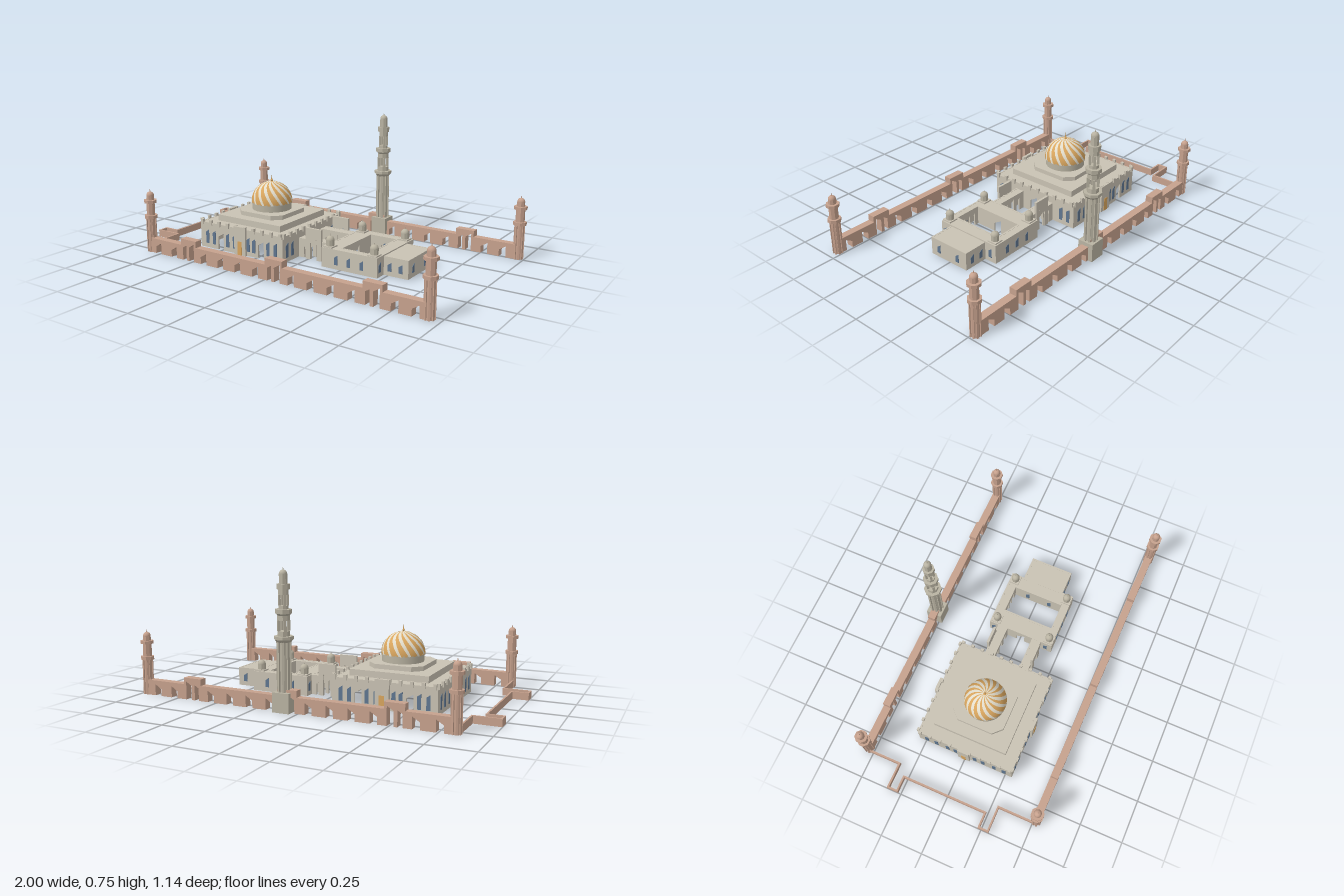
import * as THREE from 'three';

const mat = (name, color, opts = {}) => {
  const m = new THREE.MeshStandardMaterial({ color, ...opts });
  m.name = name;
  return m;
};

export function createModel() {
  const stone = mat('pale stone', 0xc9c2b3);
  const grey = mat('grey stone', 0xb9b3a2);
  const rose = mat('rose stone', 0xc6a18d);
  const glass = mat('blue glass', 0x5f7690);
  const gold = mat('gold', 0xd8a55e);
  const rib = mat('ivory ribs', 0xe2dccb, { side: THREE.DoubleSide });
  const root = new THREE.Group();

  const add = (parent, name, geo, material, x = 0, y = 0, z = 0) => {
    const m = new THREE.Mesh(geo, material);
    m.name = name;
    m.position.set(x, y, z);
    parent.add(m);
    return m;
  };
  const group = (name, parent = root) => {
    const g = new THREE.Group();
    g.name = name;
    parent.add(g);
    return g;
  };
  // Box given by its extents
  const slab = (parent, name, material, x0, x1, y0, y1, z0, z1) =>
    add(parent, name, new THREE.BoxGeometry(x1 - x0, y1 - y0, z1 - z0), material,
      (x0 + x1) / 2, (y0 + y1) / 2, (z0 + z1) / 2);
  // Octagonal prism with flat sides facing the axes, sized by its half width
  const octagon = (r0, r1, h) => {
    const g = new THREE.CylinderGeometry(r1 / 0.924, r0 / 0.924, h, 8).toNonIndexed();
    g.rotateY(Math.PI / 8);
    g.computeVertexNormals();
    return g;
  };

  // Wall outline with openings reaching the ground and raised blocks on top
  const wallGeometry = (len, h, t, gaps = [], raised = []) => {
    const s = new THREE.Shape();
    s.moveTo(0, 0);
    [...gaps].sort((a, b) => a.x - b.x).forEach(({ x, w, top }) => {
      s.lineTo(x - w / 2, 0);
      s.lineTo(x - w / 2, top - w * 0.6);
      s.lineTo(x + w / 2, top);
      s.lineTo(x + w / 2, 0);
    });
    s.lineTo(len, 0);
    s.lineTo(len, h);
    [...raised].sort((a, b) => b.x - a.x).forEach(({ x, w, top }) => {
      s.lineTo(x + w / 2, h);
      s.lineTo(x + w / 2, top);
      s.lineTo(x - w / 2, top);
      s.lineTo(x - w / 2, h);
    });
    s.lineTo(0, h);
    return new THREE.ExtrudeGeometry(s, { depth: t, bevelEnabled: false }).translate(0, 0, -t);
  };
  // Glazing with a slanted head, visible on both wall faces
  const paneGeometry = (w, y0, y1, t) => {
    const s = new THREE.Shape();
    s.moveTo(-w / 2, y0);
    s.lineTo(w / 2, y0);
    s.lineTo(w / 2, y1);
    s.lineTo(-w / 2, y1 - w * 0.7);
    return new THREE.ExtrudeGeometry(s, { depth: t, bevelEnabled: false }).translate(0, 0, 0.002 - t);
  };
  const T = 0.01;
  const side = (parent, name, px, pz, angle, len, h, { gaps = [], panes = [], teeth = 0 } = {}) => {
    const g = group(name, parent);
    g.position.set(px, 0, pz);
    g.rotation.y = angle;
    add(g, 'wall', wallGeometry(len, h, T, gaps), stone);
    panes.forEach((x) => add(g, 'window', paneGeometry(0.022, 0.025, h * 0.72, T + 0.004), glass, x));
    for (let i = 0; i < teeth; i++) {
      const x = 0.015 + (i * (len - 0.03)) / (teeth - 1);
      add(g, 'merlon', new THREE.BoxGeometry(0.018, 0.03, 0.014), stone, x, h + 0.002, 0);
    }
    return g;
  };
  // Four walls under a roof, open underneath
  const building = (name, x0, x1, z0, z1, h, { front, right, back, left } = {}) => {
    const g = group(name);
    side(g, 'frontWall', x0, z1, 0, x1 - x0, h, front);
    side(g, 'eastWall', x1, z1, Math.PI / 2, z1 - z0, h, right);
    side(g, 'backWall', x1, z0, Math.PI, x1 - x0, h, back);
    side(g, 'westWall', x0, z0, -Math.PI / 2, z1 - z0, h, left);
    return g;
  };
  const gap = (x, w, top) => ({ x, w, top });

  // Prayer hall
  const long = {
    gaps: [gap(0.15, 0.04, 0.1), gap(0.44, 0.04, 0.1)],
    panes: [0.05, 0.1, 0.2, 0.25, 0.35, 0.39, 0.49, 0.54], teeth: 10,
  };
  const hall = building('prayerHall', -0.66, -0.07, -0.29, 0.29, 0.15, {
    front: long, back: long,
    right: { panes: [0.04, 0.09, 0.49, 0.54], gaps: [gap(0.29, 0.05, 0.1)], teeth: 10 },
    left: { panes: [0.05, 0.11, 0.18, 0.23, 0.35, 0.4, 0.47, 0.53], teeth: 10 },
  });
  slab(hall, 'roof', stone, -0.655, -0.075, 0.142, 0.149, -0.285, 0.285);
  slab(hall, 'upperRoof', stone, -0.585, -0.138, 0.149, 0.185, -0.22, 0.22);
  for (const s of [-1, 1]) {
    slab(hall, 'portal', stone, -0.4, -0.32, 0, 0.165, s * 0.297 - 0.008, s * 0.297 + 0.008);
    slab(hall, 'portalDoor', gold, -0.375, -0.345, 0, 0.08, s * 0.297 - 0.01, s * 0.297 + 0.01);
  }
  slab(hall, 'westPortal', stone, -0.673, -0.655, 0, 0.165, -0.04, 0.03);
  slab(hall, 'westDoor', gold, -0.675, -0.653, 0, 0.08, -0.018, 0.008);

  // Chamfered platform under the dome
  const c = 0.155, k = 0.105;
  const plan = new THREE.Shape([[c, k], [k, c], [-k, c], [-c, k], [-c, -k], [-k, -c], [k, -c], [c, -k]]
    .map(([x, y]) => new THREE.Vector2(x, y)));
  const platform = new THREE.ExtrudeGeometry(plan, { depth: 0.025, bevelEnabled: false }).rotateX(-Math.PI / 2);
  add(hall, 'domePlatform', platform, stone, -0.36, 0.185, 0);

  // Main dome with spiralling ribs
  const dome = group('mainDome');
  dome.position.set(-0.36, 0.25, 0);
  add(dome, 'drum', new THREE.CylinderGeometry(0.115, 0.115, 0.04, 32), grey, 0, -0.02, 0);
  add(dome, 'rim', new THREE.CylinderGeometry(0.12, 0.12, 0.008, 32), grey);
  add(dome, 'shell', new THREE.SphereGeometry(0.12, 40, 16, 0, Math.PI * 2, 0, Math.PI / 2), gold);
  const ribGeometry = (start) => {
    const pos = [], idx = [], N = 14, R = 0.1215;
    for (let i = 0; i <= N; i++) {
      const t = i / N, e = t * 1.5, mid = start + 0.9 * t, half = 0.06 + 0.1 * t;
      for (const a of [mid - half, mid + half]) {
        pos.push(R * Math.cos(e) * Math.cos(a), R * Math.sin(e), R * Math.cos(e) * Math.sin(a));
      }
      if (i < N) idx.push(2 * i, 2 * i + 2, 2 * i + 1, 2 * i + 1, 2 * i + 2, 2 * i + 3);
    }
    const g = new THREE.BufferGeometry();
    g.setAttribute('position', new THREE.Float32BufferAttribute(pos, 3));
    g.setIndex(idx);
    g.computeVertexNormals();
    return g;
  };
  for (let i = 0; i < 14; i++) add(dome, 'rib', ribGeometry((i * Math.PI * 2) / 14), rib);
  add(dome, 'finialBall', new THREE.SphereGeometry(0.007, 10, 8), gold, 0, 0.128, 0);
  add(dome, 'finialSpike', new THREE.ConeGeometry(0.005, 0.04, 8), gold, 0, 0.142, 0);

  // Courtyard block: ring of rooms round an open court
  const court = building('courtyardBlock', 0.13, 0.475, -0.195, 0.205, 0.11, {
    front: { panes: [0.09, 0.17, 0.25] }, back: { panes: [0.09, 0.17, 0.25] },
    right: { panes: [0.025, 0.36] }, left: { panes: [0.025, 0.36], gaps: [gap(0.2, 0.05, 0.08)] },
  });
  const roofs = [[0.135, 0.235, -0.19, 0.2], [0.395, 0.47, -0.19, 0.2],
    [0.235, 0.395, -0.19, -0.14], [0.235, 0.395, 0.16, 0.2]];
  roofs.forEach(([x0, x1, z0, z1]) => slab(court, 'roof', stone, x0, x1, 0.103, 0.109, z0, z1));
  const arcade = [gap(0.04, 0.03, 0.075), gap(0.08, 0.03, 0.075), gap(0.12, 0.03, 0.075)];
  side(court, 'courtBackWall', 0.235, -0.14, 0, 0.16, 0.11, { gaps: arcade });
  side(court, 'courtFrontWall', 0.395, 0.16, Math.PI, 0.16, 0.11, { gaps: arcade });
  side(court, 'courtWestWall', 0.235, 0.16, Math.PI / 2, 0.3, 0.11, { gaps: [gap(0.15, 0.05, 0.08)] });
  side(court, 'courtEastWall', 0.395, -0.14, -Math.PI / 2, 0.3, 0.11, { panes: [0.08, 0.22] });
  for (const x of [0.165, 0.44]) for (const z of [-0.16, 0.175]) {
    const cup = group('cupola', court);
    cup.position.set(x, 0.11, z);
    add(cup, 'base', new THREE.BoxGeometry(0.056, 0.008, 0.056), stone, 0, 0.004, 0);
    add(cup, 'drum', octagon(0.021, 0.021, 0.034), grey, 0, 0.022, 0);
    add(cup, 'cap', new THREE.SphereGeometry(0.023, 16, 8, 0, Math.PI * 2, 0, Math.PI / 2), grey, 0, 0.039, 0);
    add(cup, 'tip', new THREE.ConeGeometry(0.003, 0.014, 6), grey, 0, 0.067, 0);
  }

  // East wing
  const wing = building('eastWing', 0.395, 0.62, -0.12, 0.135, 0.104, {
    front: { panes: [0.115, 0.18] }, back: { panes: [0.045, 0.11] }, right: { panes: [0.055, 0.19] },
  });
  slab(wing, 'roof', stone, 0.4, 0.615, 0.097, 0.103, -0.115, 0.13);

  // Two arcaded corridors with tall gateways
  for (const [z0, z1, out] of [[-0.14, -0.08, -0.14], [0.08, 0.135, 0.138]]) {
    const arches = { gaps: [gap(0.05, 0.03, 0.08), gap(0.1, 0.04, 0.09), gap(0.155, 0.03, 0.08)] };
    const corridor = group('corridor');
    side(corridor, 'frontArcade', -0.07, z1, 0, 0.205, 0.11, arches);
    side(corridor, 'backArcade', 0.135, z0, Math.PI, 0.205, 0.11, arches);
    slab(corridor, 'roof', stone, -0.07, 0.135, 0.103, 0.109, z0 + 0.005, z1 - 0.005);
    add(corridor, 'gateway', wallGeometry(0.105, 0.18, 0.014, [gap(0.0525, 0.045, 0.12)]),
      stone, -0.02, 0, out + 0.007);
  }

  // Cap shared by the towers
  const cap = (g, r, y, material) => {
    add(g, 'dome', new THREE.SphereGeometry(r, 16, 8, 0, Math.PI * 2, 0, Math.PI / 2), material, 0, y, 0);
    add(g, 'finial', new THREE.ConeGeometry(0.004, 0.02, 6), material, 0, y + r + 0.006, 0);
  };
  const tier = (g, name, r, y0, y1, material, r1 = r) =>
    add(g, name, octagon(r, r1, y1 - y0), material, 0, (y0 + y1) / 2, 0);
  const pilasters = (g, r, w, y0, y1, n, material) => {
    for (let i = 0; i < n; i++) {
      const a = ((i + 0.5) * Math.PI * 2) / n;
      add(g, 'pier', new THREE.BoxGeometry(w, y1 - y0, w), material,
        r * Math.sin(a), (y0 + y1) / 2, r * Math.cos(a)).rotation.y = a;
    }
  };

  // Tall minaret
  const minaret = group('minaret');
  minaret.position.set(0.087, 0, -0.525);
  slab(minaret, 'base', grey, -0.048, 0.048, 0, 0.105, -0.046, 0.046);
  tier(minaret, 'shaft', 0.03, 0.105, 0.37, grey);
  pilasters(minaret, 0.032, 0.012, 0.105, 0.37, 8, grey);
  tier(minaret, 'corbel', 0.034, 0.362, 0.378, grey, 0.046);
  tier(minaret, 'balcony', 0.047, 0.378, 0.394, grey);
  tier(minaret, 'middleFoot', 0.03, 0.394, 0.42, grey);
  pilasters(minaret, 0.026, 0.014, 0.42, 0.475, 4, grey);
  tier(minaret, 'middleHead', 0.03, 0.475, 0.505, grey);
  tier(minaret, 'balcony', 0.04, 0.51, 0.532, grey);
  tier(minaret, 'corbel', 0.03, 0.5, 0.51, grey, 0.038);
  tier(minaret, 'upperFoot', 0.024, 0.532, 0.55, grey);
  pilasters(minaret, 0.021, 0.012, 0.55, 0.605, 4, grey);
  tier(minaret, 'upperHead', 0.024, 0.605, 0.632, grey);
  tier(minaret, 'balcony', 0.031, 0.632, 0.66, grey);
  tier(minaret, 'lantern', 0.02, 0.66, 0.71, grey);
  cap(minaret, 0.021, 0.71, grey);

  // Corner towers
  const corners = [[-0.832, -0.532], [-0.832, 0.515], [0.965, -0.515], [0.94, 0.532]];
  corners.forEach(([x, z]) => {
    const t = group('cornerTower');
    t.position.set(x, 0, z);
    tier(t, 'shaft', 0.024, 0, 0.195, rose);
    pilasters(t, 0.024, 0.01, 0, 0.195, 8, rose);
    tier(t, 'balcony', 0.034, 0.195, 0.214, rose);
    tier(t, 'upperShaft', 0.023, 0.214, 0.285, rose);
    tier(t, 'balcony', 0.034, 0.285, 0.302, rose);
    tier(t, 'lantern', 0.02, 0.302, 0.328, rose);
    cap(t, 0.021, 0.328, rose);
  });

  // Long perimeter walls with arches and raised gates
  const gates = [-0.53, 0.06, 0.65];
  const arches = [-0.76, -0.64, -0.42, -0.3, -0.18, -0.06, 0.17, 0.29, 0.41, 0.53, 0.77, 0.88];
  for (const [a, b] of [[corners[0], corners[2]], [corners[1], corners[3]]]) {
    const dx = b[0] - a[0], dz = b[1] - a[1];
    const gaps = [...arches.map((x) => gap(x - a[0], 0.04, 0.063)),
      ...gates.flatMap((x) => [gap(x - 0.028 - a[0], 0.026, 0.085), gap(x + 0.022 - a[0], 0.036, 0.1)])];
    const raised = gates.map((x) => gap(x - a[0], 0.11, 0.12));
    const w = add(root, 'perimeterWall',
      wallGeometry(Math.hypot(dx, dz), 0.084, 0.044, gaps, raised).translate(0, 0, 0.022), rose, a[0], 0, a[1]);
    w.rotation.y = -Math.atan2(dz, dx);
  }

  // Low stepped wall on the west side
  const path = [[-0.848, -0.53], [-0.848, -0.328], [-0.995, -0.328], [-0.995, -0.272], [-0.906, -0.272],
    [-0.906, 0.235], [-0.995, 0.235], [-0.995, 0.29], [-0.848, 0.29], [-0.848, 0.515]];
  for (let i = 0; i + 1 < path.length; i++) {
    const [[ax, az], [bx, bz]] = [path[i], path[i + 1]];
    slab(root, 'lowWall', rose, Math.min(ax, bx) - 0.005, Math.max(ax, bx) + 0.005, 0, 0.041,
      Math.min(az, bz) - 0.005, Math.max(az, bz) + 0.005);
  }
  return root;
}
